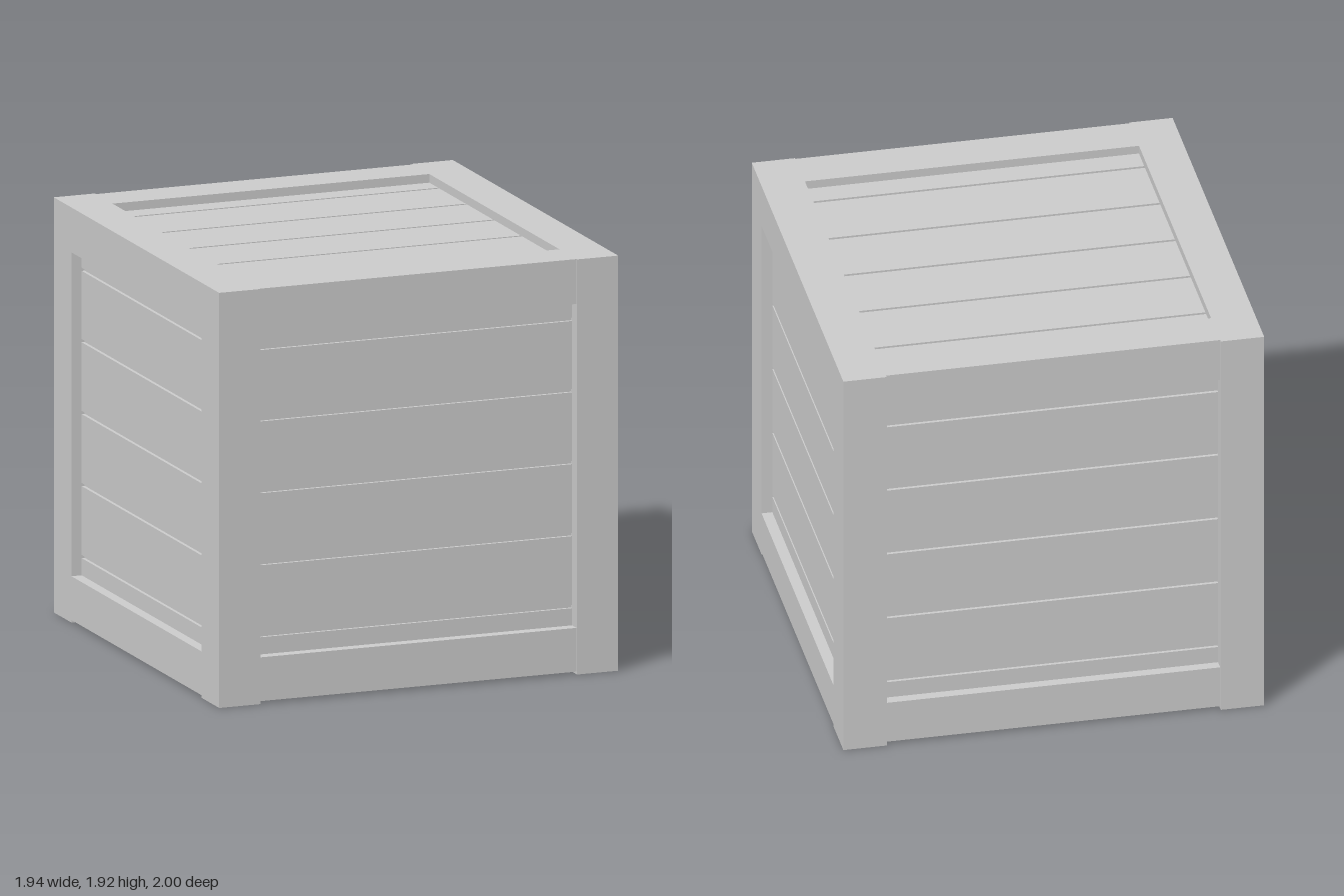
import * as THREE from 'three';

const material = new THREE.MeshStandardMaterial({ color: 0xcccccc, flatShading: true });

// Box given by its lower and upper corners
function addBox(parent, name, min, max) {
  const size = max.map((v, i) => v - min[i]);
  const mesh = new THREE.Mesh(new THREE.BoxGeometry(...size), material);
  mesh.position.set(...max.map((v, i) => (v + min[i]) / 2));
  mesh.name = name;
  parent.add(mesh);
}

// Plank intervals between evenly spaced grooves
function plankSpans(lo, hi, grooves) {
  const half = 0.0075;
  const edges = [lo, ...grooves.flatMap((g) => [g - half, g + half]), hi];
  return Array.from({ length: grooves.length + 1 }, (_, i) => [edges[2 * i], edges[2 * i + 1]]);
}

export function createModel() {
  const crate = new THREE.Group();
  crate.name = 'crate';

  const X = 0.97, Z = 1, TOP = 1.925; // outer size
  const xi = 0.77, zi = 0.787; // inner edges of the frame
  const yLow = 0.215, yHigh = 1.717;
  const zFront = 0.993, zBack = -0.987, yRail = 0.012;

  // Corner posts and side rails, mirrored in x
  const frame = new THREE.Group();
  frame.name = 'frame';
  crate.add(frame);
  for (const s of [-1, 1]) {
    const x0 = s > 0 ? xi : -X, x1 = s > 0 ? X : -xi;
    addBox(frame, 'cornerPostFront', [x0, 0, zi], [x1, TOP, Z]);
    addBox(frame, 'cornerPostBack', [x0, 0, -Z], [x1, TOP, -zi]);
    addBox(frame, 'sideRailTop', [x0, yHigh, -zi], [x1, TOP, zi]);
    addBox(frame, 'sideRailBottom', [x0, yRail, -zi], [x1, yLow, zi]);
  }

  // Front and back rails, set slightly behind the posts
  for (const [label, z0, z1] of [['front', zi, zFront], ['back', zBack, -zi]]) {
    addBox(frame, label + 'RailTop', [-xi, yHigh, z0], [xi, TOP, z1]);
    addBox(frame, label + 'RailBottom', [-xi, yRail, z0], [xi, yLow, z1]);
  }

  // Inner box forming the floor of the grooves
  const cx = 0.905, cz = 0.925, cy0 = 0.065, cy1 = 1.87, t = 0.015;
  addBox(crate, 'innerBox', [-cx, cy0, -cz], [cx, cy1, cz]);

  // Horizontal planks on the four walls
  const planks = new THREE.Group();
  planks.name = 'planks';
  crate.add(planks);
  for (const [a, b] of plankSpans(yLow, yHigh, [0.302, 0.636, 0.97, 1.303, 1.634])) {
    addBox(planks, 'frontPlank', [-xi, a, cz], [xi, b, cz + t]);
    addBox(planks, 'backPlank', [-xi, a, -cz - t], [xi, b, -cz]);
    addBox(planks, 'leftPlank', [cx, a, -zi], [cx + t, b, zi]);
    addBox(planks, 'rightPlank', [-cx - t, a, -zi], [-cx, b, zi]);
  }

  // Planks of the lid and floor, running along x
  for (const [a, b] of plankSpans(-zi, zi, [-0.672, -0.338, -0.005, 0.328, 0.664])) {
    addBox(planks, 'lidPlank', [-xi, cy1, a], [xi, cy1 + t, b]);
    addBox(planks, 'floorPlank', [-xi, cy0 - t, a], [xi, cy0, b]);
  }

  return crate;
}
